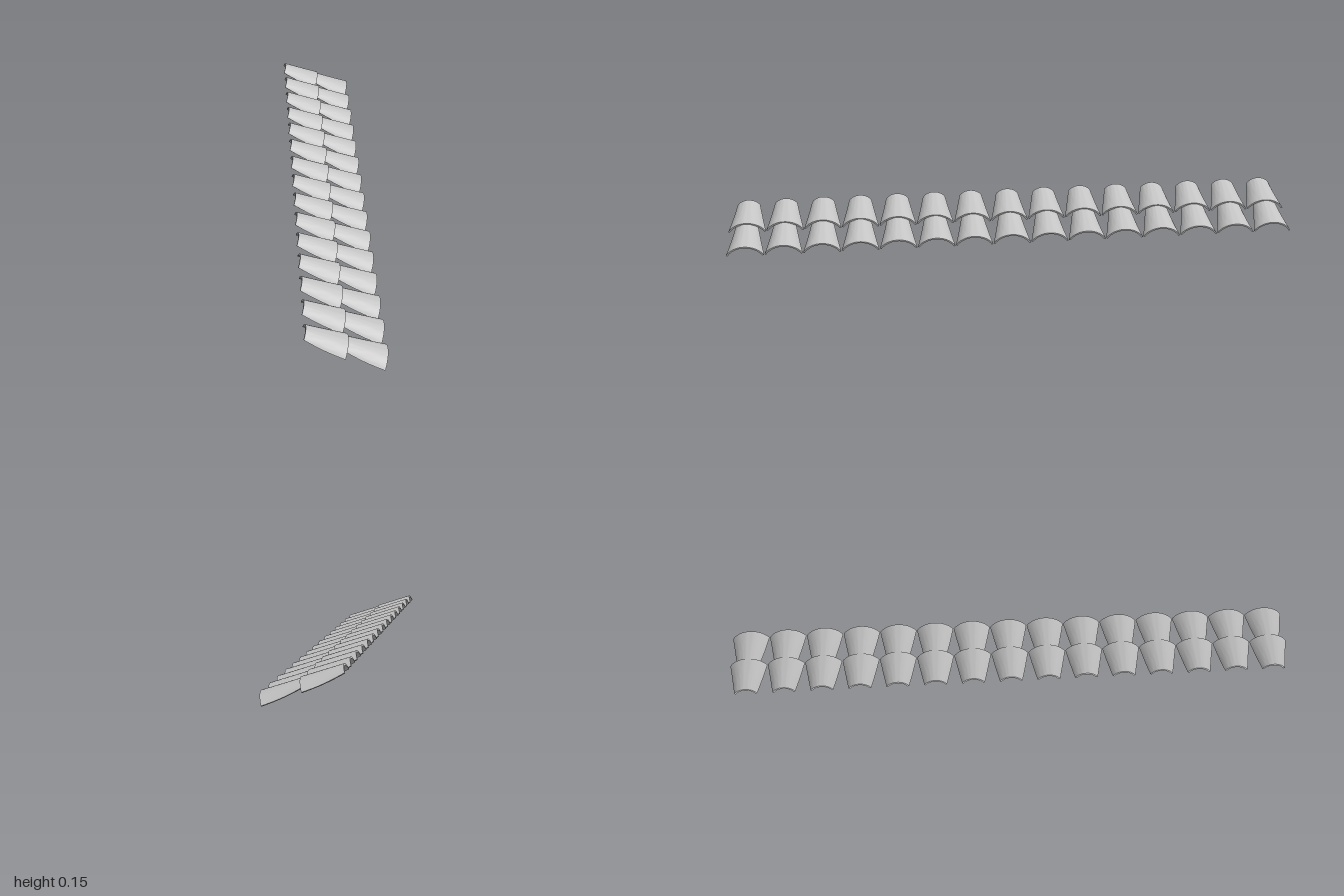
import * as THREE from 'three';
import { toCreasedNormals } from 'three/addons/utils/BufferGeometryUtils.js';

const ARC = 20;          // segments across a tile
const STEPS = 8;         // segments along a tile
const LENGTH = 0.137;
const THICK = 0.006;
const COUNT = 15;        // tiles in each row

// Closed cross-section in (y, z): outer arc one way, inner arc back
function section(t) {
  const half = THREE.MathUtils.lerp(0.04, 0.066, t);
  const sag = 0.004 * Math.sin(Math.PI * t);
  const base = 0.0104 * (1 - t) - sag;
  const crest = THREE.MathUtils.lerp(0.0325, 0.0375, t);
  const rise = crest - base;
  const r = (half * half + rise * rise) / (2 * rise);
  const a = Math.asin(Math.min(1, half / r));
  const ring = [];
  for (const [radius, dir] of [[r, 1], [r - THICK, -1]]) {
    for (let k = 0; k <= ARC; k++) {
      const ang = dir * a * (2 * k / ARC - 1);
      ring.push([crest - r + radius * Math.cos(ang), radius * Math.sin(ang)]);
    }
  }
  return ring;
}

// Tapered barrel tile: narrow at x = 0, wide at x = LENGTH
function tileGeometry() {
  const pos = [], idx = [];
  const n = 2 * (ARC + 1);
  for (let i = 0; i <= STEPS; i++) {
    for (const [y, z] of section(i / STEPS)) pos.push(LENGTH * i / STEPS, y, z);
  }
  for (let i = 0; i < STEPS; i++) {
    for (let j = 0; j < n; j++) {
      const a = i * n + j, b = i * n + (j + 1) % n;
      idx.push(a, b, a + n, b, b + n, a + n);
    }
  }
  // End rims
  const w = STEPS * n;
  for (let k = 0; k < ARC; k++) {
    const o = k, p = k + 1, q = n - 1 - k, s = n - 2 - k;
    idx.push(o, q, p, p, q, s);
    idx.push(w + o, w + p, w + q, w + p, w + s, w + q);
  }
  const geo = new THREE.BufferGeometry();
  geo.setAttribute('position', new THREE.Float32BufferAttribute(pos, 3));
  geo.setIndex(idx);
  return toCreasedNormals(geo, 0.7);
}

export function createModel() {
  const model = new THREE.Group();
  model.name = 'roofTiles';
  const clay = new THREE.MeshStandardMaterial({ color: 0xc4c4c4 });
  clay.name = 'pale grey';
  const geo = tileGeometry();

  // Two overlapping courses, each drifting slightly up and outwards to the back
  const rows = [['upperRow', -0.1216, 0.0925], ['lowerRow', -0.0006, 0.0483]];
  for (const [name, x, y] of rows) {
    const row = new THREE.Group();
    row.name = name;
    for (let i = 0; i < COUNT; i++) {
      const f = i / (COUNT - 1);
      const tile = new THREE.Mesh(geo, clay);
      tile.name = 'tile';
      tile.position.set(x - 0.02 * f, y + 0.029 * f, 0.934 * (1 - 2 * f));
      tile.rotation.z = -0.358;
      row.add(tile);
    }
    model.add(row);
  }
  return model;
}
